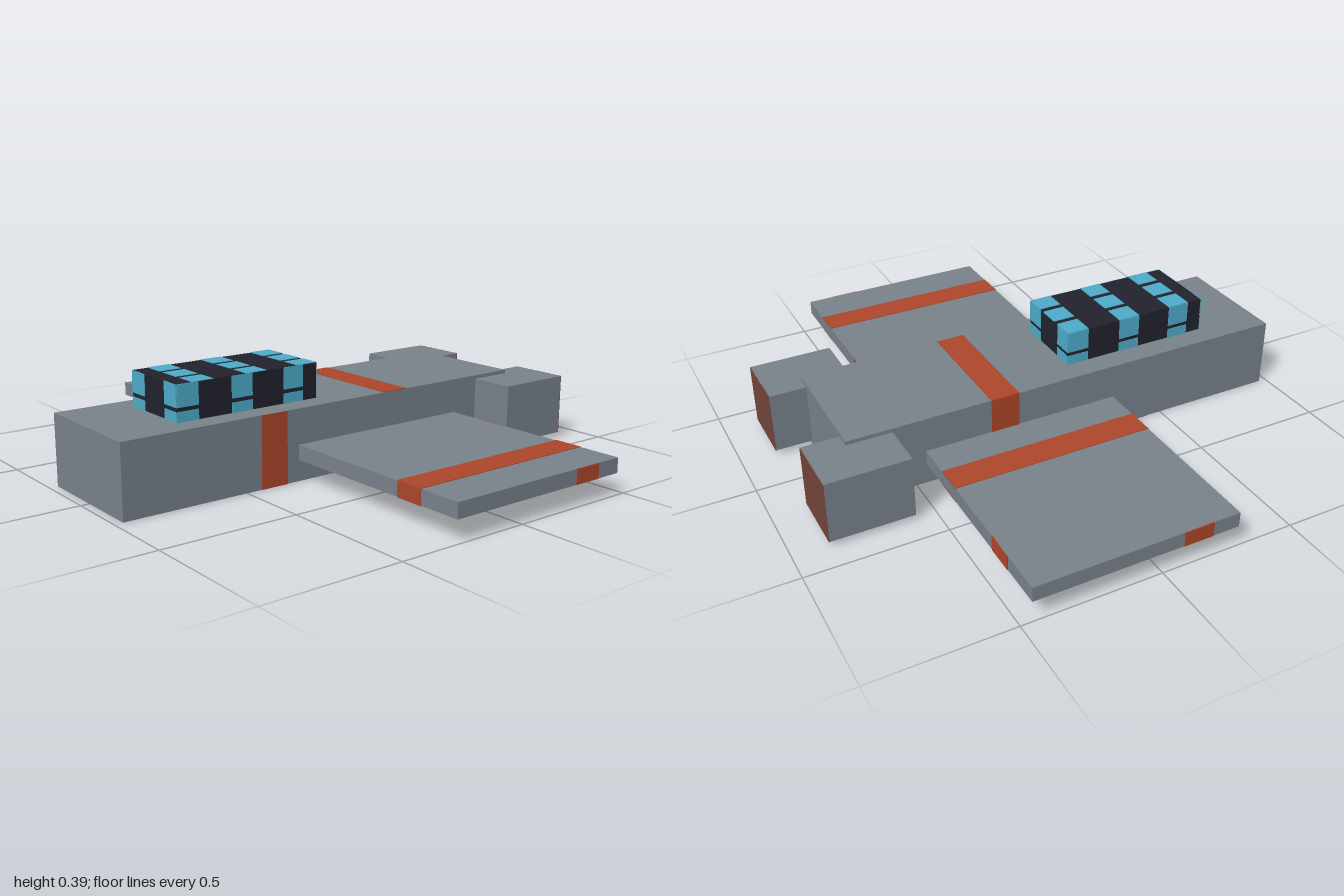
import * as THREE from 'three';

const mat = (name, color) => {
  const m = new THREE.MeshStandardMaterial({ color });
  m.name = name;
  return m;
};

export function createModel() {
  const model = new THREE.Group();
  model.name = 'aircraft';
  const grey = mat('hull grey', 0x78818a);
  const orange = mat('stripe orange', 0xac462b);
  const brown = mat('exhaust brown', 0x74463a);
  const dark = mat('canopy frame', 0x21222c);
  const blue = mat('window blue', 0x4dabca);
  const T = 0.002; // how far painted plates stand off the surface

  // Box spanning [x0, x1] x [y0, y1] x [z0, z1]
  function box(name, material, [x0, x1], [y0, y1], [z0, z1], parent = model) {
    const mesh = new THREE.Mesh(new THREE.BoxGeometry(x1 - x0, y1 - y0, z1 - z0), material);
    mesh.position.set((x0 + x1) / 2, (y0 + y1) / 2, (z0 + z1) / 2);
    mesh.name = name;
    parent.add(mesh);
    return mesh;
  }
  const at = (v) => [v - T, v + T]; // thin slab around a face

  // Fuselage, with one stripe over top and right side, another under bottom and left side
  const bodyX = [-0.23, 0.23], bodyY = [0, 0.26];
  const aft = [-0.21, -0.103], fore = [0.333, 0.44];
  box('fuselage', grey, bodyX, bodyY, [-0.74, 0.97]);
  box('fuselageStripeTop', orange, bodyX, at(0.26), aft);
  box('fuselageStripeRight', orange, at(-0.23), bodyY, aft);
  box('fuselageStripeLeft', orange, at(0.23), bodyY, fore);
  box('fuselageStripeBottom', orange, bodyX, [0, T], fore).position.y = 0;

  // Wings: the stripe sits at the same offset from each wing's -x end
  const wingY = [0.077, 0.131], wingZ = [-0.46, 0.284];
  for (const [side, x0, x1, tip, tipZ] of [
    ['left', 0.205, 1, 1, [-0.36, -0.25]],
    ['right', -1, -0.205, -1, [0.074, 0.184]],
  ]) {
    const wing = new THREE.Group();
    wing.name = side + 'Wing';
    model.add(wing);
    const stripe = [x0 + 0.532, x0 + 0.638];
    const mirrored = [x1 - 0.638, x1 - 0.532];
    box('wingPanel', grey, [x0, x1], wingY, wingZ, wing);
    box('stripeTop', orange, stripe, at(wingY[1]), wingZ, wing);
    box('stripeBottom', orange, stripe, at(wingY[0]), wingZ, wing);
    box('stripeLeadingEdge', orange, stripe, wingY, at(wingZ[1]), wing);
    box('stripeTrailingEdge', orange, mirrored, wingY, at(wingZ[0]), wing);
    box('stripeTip', orange, at(tip), wingY, tipZ, wing);
  }

  // Engines with brown exhaust faces
  for (const [side, x] of [['left', [0.172, 0.4]], ['right', [-0.4, -0.172]]]) {
    box(side + 'Engine', grey, x, [0.019, 0.246], [-0.875, -0.575]);
    box(side + 'Exhaust', brown, x, [0.019, 0.246], at(-0.875));
  }

  // Canopy
  const cx = [-0.143, 0.143], cz = [0.14, 0.714], top = 0.388;
  box('canopy', dark, cx, [0.25, top], cz);

  // Roof windows: three rows of three
  const rowsFromBack = [0, 1, 2].map((i) => [0.14 + i * 0.215, 0.224 + i * 0.215]);
  const rowsFromFront = rowsFromBack.map(([a, b]) => [0.854 - b, 0.854 - a]);
  const columns = [[-0.143, -0.062], [-0.04, 0.043], [0.066, 0.143]];
  for (const z of rowsFromBack) {
    for (const x of columns) box('roofWindow', blue, x, at(top), z);
  }

  // Side, front and back windows in two bands
  for (const y of [[0.31, top], [0.26, 0.296]]) {
    for (const z of rowsFromFront) box('leftWindow', blue, at(cx[1]), y, z);
    for (const z of rowsFromBack) box('rightWindow', blue, at(cx[0]), y, z);
    for (const x of [[-0.143, -0.06], [0.068, 0.143]]) {
      box('frontWindow', blue, x, y, at(cz[1]));
      box('backWindow', blue, [-x[1], -x[0]], y, at(cz[0]));
    }
  }
  return model;
}
